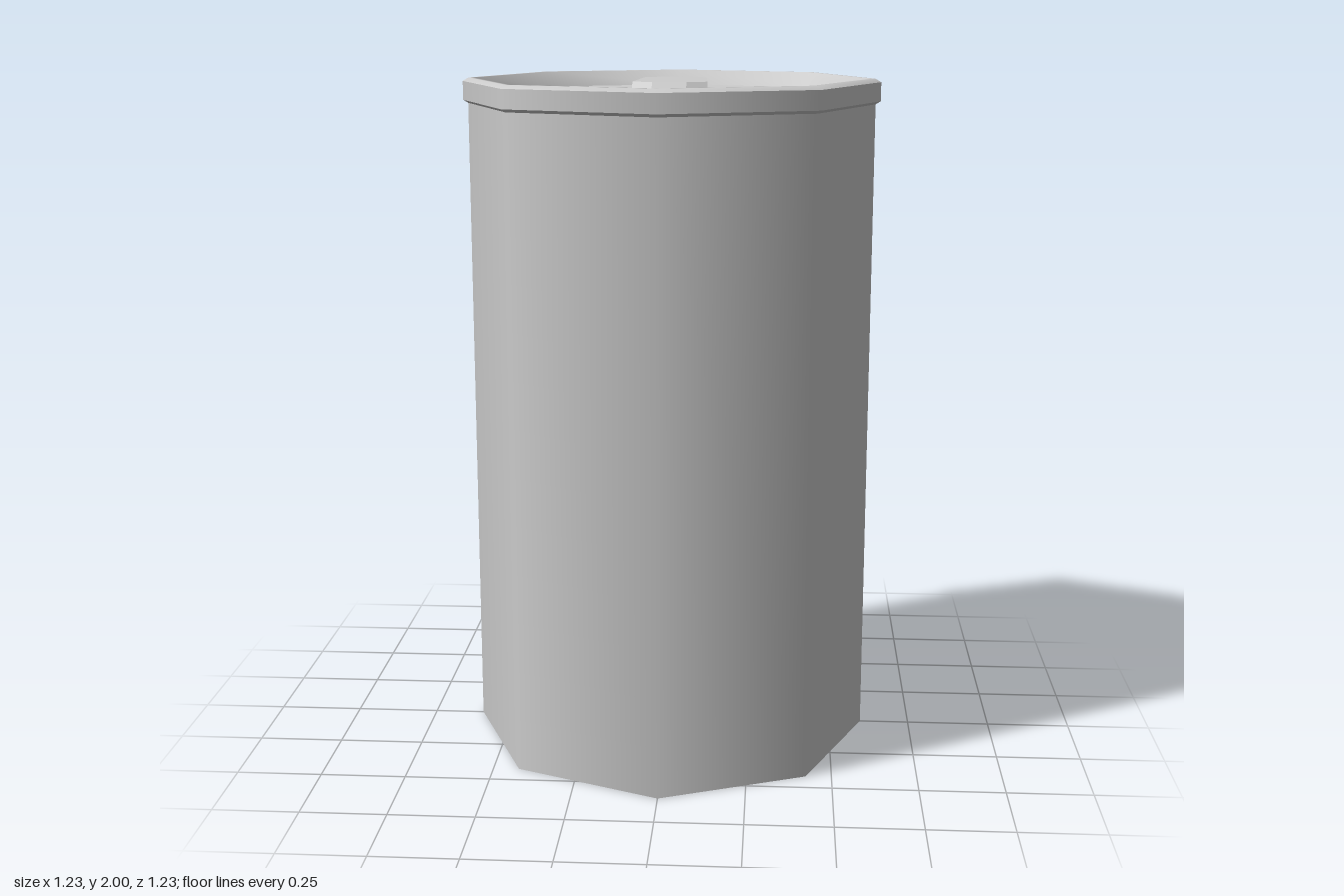
import * as THREE from 'three';

const SIDES = 8;
const FLOOR = 1.955;

export function createModel() {
  const group = new THREE.Group();
  const mat = new THREE.MeshStandardMaterial({ color: 0xcccccc });
  const add = (name, geometry, parent = group) => {
    const mesh = new THREE.Mesh(geometry, mat);
    mesh.name = name;
    parent.add(mesh);
    return mesh;
  };
  // Octagonal band swept from [radius, height] points
  const band = (points) =>
    new THREE.LatheGeometry(points.map(([r, y]) => new THREE.Vector2(r, y)), SIDES);

  // Can wall and base
  add('body', band([[0.6, 0], [0.6, 1.93]]));
  add('base', new THREE.CircleGeometry(0.6, SIDES).rotateX(Math.PI / 2));

  // Rim: underside, outer wall, top bevel and slope down to the lid
  const rim = new THREE.Group();
  rim.name = 'rim';
  group.add(rim);
  add('rimUnderside', band([[0.598, 1.925], [0.615, 1.935]]), rim);
  add('rimWall', band([[0.615, 1.935], [0.615, 1.99]]), rim);
  add('rimTop', band([[0.615, 1.99], [0.598, 2], [0.582, 2], [0.55, FLOOR]]), rim);

  // Recessed lid
  add('lid', new THREE.CircleGeometry(0.55, SIDES).rotateX(-Math.PI / 2).translate(0, FLOOR, 0));

  // Pull tab: tapered plate, drawn in (x, -z), extruded upwards
  const half = [[0.05, -0.06], [0.11, -0.024], [0.095, 0.24], [0.05, 0.286]];
  const outline = [...half, ...half.map(([x, y]) => [-x, y]).reverse()];
  const tab = new THREE.ExtrudeGeometry(
    new THREE.Shape(outline.map(([x, y]) => new THREE.Vector2(x, y))),
    { depth: 0.036, bevelEnabled: false }
  ).rotateX(-Math.PI / 2);
  // Slope the front end by pushing its lower corners forward
  const pos = tab.attributes.position;
  for (let i = 0; i < pos.count; i++) {
    if (pos.getY(i) < 0.01 && pos.getZ(i) > 0) pos.setZ(i, pos.getZ(i) + 0.037);
  }
  tab.computeVertexNormals();
  add('pullTab', tab).position.y = FLOOR;

  return group;
}
